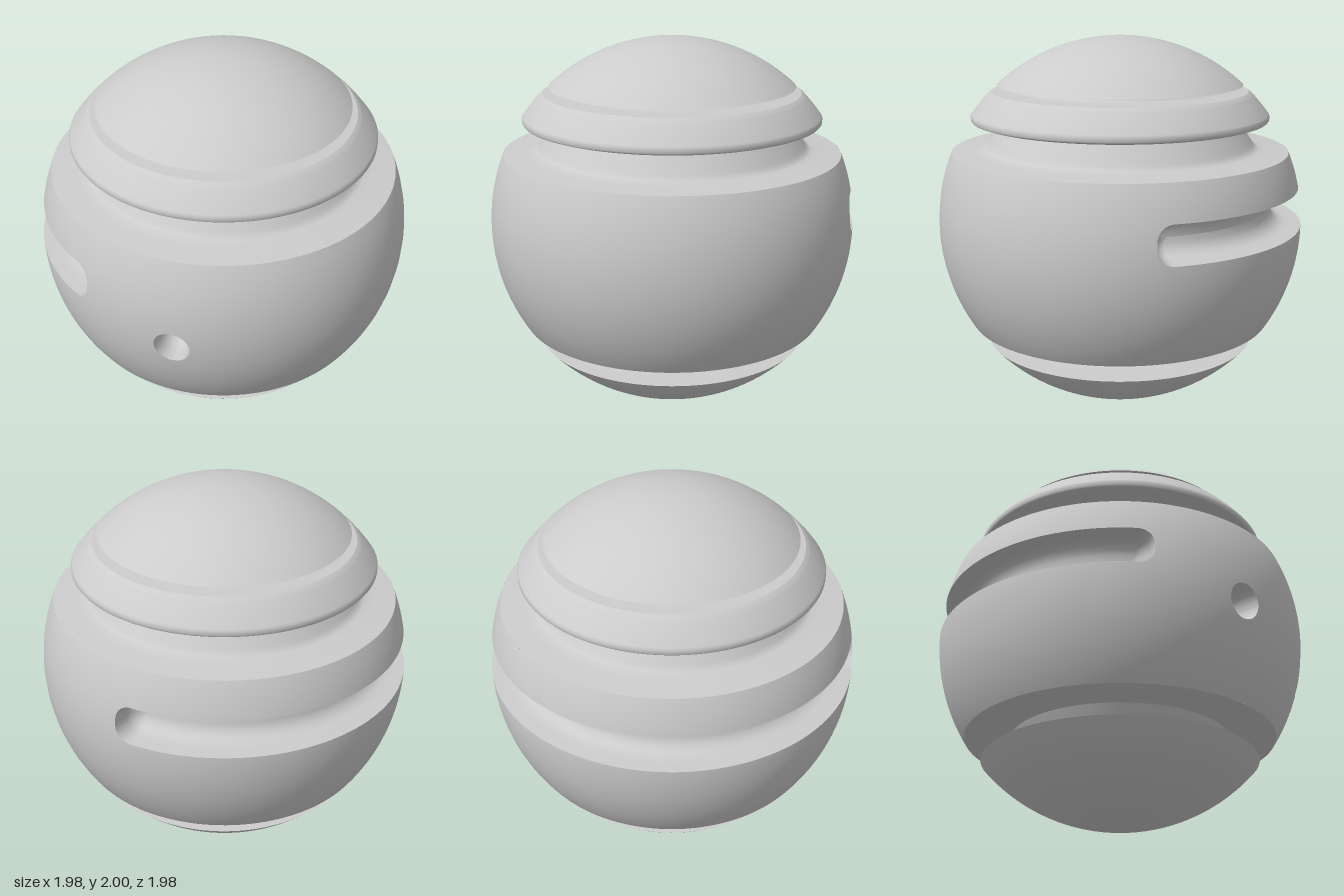
import * as THREE from 'three';

const RX = 0.99, CY = 1; // ball: horizontal radius and centre height (vertical radius 1)
const radiusAt = (y) => RX * Math.sqrt(Math.max(0, 1 - (y - CY) ** 2));

export function createModel() {
  const group = new THREE.Group();
  group.name = 'slottedBall';
  const material = new THREE.MeshStandardMaterial({ color: 0xcccccc, side: THREE.DoubleSide });

  const add = (name, geometry) => {
    const mesh = new THREE.Mesh(geometry, material);
    mesh.name = name;
    group.add(mesh);
  };
  const turned = (name, points) =>
    add(name, new THREE.LatheGeometry(points.map(([r, y]) => new THREE.Vector2(r, y)), 128));

  // Profile along the ball between two heights, evenly spaced by angle
  const arc = (y0, y1, n = 20) => {
    const a0 = Math.asin(y0 - CY), a1 = Math.asin(y1 - CY);
    return Array.from({ length: n + 1 }, (_, i) => {
      const a = a0 + ((a1 - a0) * i) / n;
      return [Math.max(0, RX * Math.cos(a)), CY + Math.sin(a)];
    });
  };

  // Rounded rectangle, counter-clockwise, always with the same number of points
  const outline = (cx, cy, hw, hh, r, nLong, nShort = 24, nCorner = 8) => {
    const pts = [];
    const corners = [[1, 1], [-1, 1], [-1, -1], [1, -1]];
    corners.forEach(([sx, sy], q) => {
      for (let i = 0; i <= nCorner; i++) {
        const a = (q + i / nCorner) * Math.PI / 2;
        pts.push([cx + sx * (hw - r) + r * Math.cos(a), cy + sy * (hh - r) + r * Math.sin(a)]);
      }
      const [ex, ey] = pts[pts.length - 1];
      const [tx, ty] = corners[(q + 1) % 4];
      const a = (q + 1) * Math.PI / 2;
      const nx = cx + tx * (hw - r) + r * Math.cos(a), ny = cy + ty * (hh - r) + r * Math.sin(a);
      const n = q % 2 ? nShort : nLong;
      for (let i = 1; i < n; i++) pts.push([ex + (nx - ex) * i / n, ey + (ny - ey) * i / n]);
    });
    return pts;
  };

  // Joins closed rows of [angle, y, radius] points from the outside inward
  const loft = (rows, onBall) => {
    const pos = [], normal = [], index = [], n = rows[0].length;
    rows.forEach((row, i) => row.forEach(([a, y, r], k) => {
      const x = r * Math.sin(a), z = r * Math.cos(a);
      pos.push(x, y, z);
      const v = new THREE.Vector3(x / RX ** 2, y - CY, z / RX ** 2).normalize();
      normal.push(v.x, v.y, v.z);
      if (i + 1 < rows.length) {
        const p = i * n + k, q = i * n + (k + 1) % n;
        index.push(p, q, q + n, p, q + n, p + n);
      }
    }));
    const g = new THREE.BufferGeometry();
    g.setAttribute('position', new THREE.Float32BufferAttribute(pos, 3));
    g.setIndex(index);
    if (onBall) g.setAttribute('normal', new THREE.Float32BufferAttribute(normal, 3));
    else g.computeVertexNormals();
    return g;
  };

  // Part of the middle shell with one rounded pocket sunk into it
  const Y0 = 0.45, Y1 = 1.39, STEPS = 24;
  const shellWithPocket = (name, centre, half, n, p) => {
    const outer = outline(centre, (Y0 + Y1) / 2, half, (Y1 - Y0) / 2, 0, n);
    const pocket = (inset) => outline(0, p.y, Math.max(0, p.hw - inset), Math.max(0, p.hh - inset),
      Math.max(0, p.r - inset), n).map(([x, y]) => [p.angle + x / RX, y]);
    const rim = pocket(0);
    const skin = Array.from({ length: STEPS + 1 }, (_, i) => outer.map(([a, y], k) => {
      const t = i / STEPS, yy = y + (rim[k][1] - y) * t;
      return [a + (rim[k][0] - a) * t, yy, radiusAt(yy)];
    }));
    add(name + 'Shell', loft(skin, true));
    // wall drops in, then rounds into the floor
    const walls = [[0, 0], [0.02, 0.3], [0.05, 0.55], [0.12, 0.7], [0.26, 0.82], [0.45, 0.92], [0.7, 0.98], [1, 1]];
    add(name + 'Pocket', loft(walls.map(([s, t]) => pocket(s * p.hh).map(([a, y]) =>
      [a, y, radiusAt(y) * (1 - t) + p.floor * t])), false));
  };

  // Domed ends and the upper ring
  turned('bottomDome', arc(0, 0.33, 32));
  turned('upperRing', [[0.797, 1.557], [0.803, 1.565], ...arc(1.585, 1.7, 12), [0.69, 1.712]]);
  turned('topDome', arc(1.745, 2, 32));

  // Lower neck with its ledges
  turned('bottomLedge', [[radiusAt(0.33), 0.33], [0.58, 0.334], [0.55, 0.34], [0.537, 0.35],
    [0.538, 0.362], [0.55, 0.38], [0.59, 0.45]]);
  turned('shellUnderside', [[0.59, 0.45], [radiusAt(Y0), Y0]]);

  // Upper neck with its ledges
  turned('shoulder', [[radiusAt(Y1), Y1], [0.79, 1.4], [0.75, 1.406], [0.732, 1.414], [0.72, 1.43],
    [0.71, 1.445], [0.65, 1.54]]);
  turned('ringUnderside', [[0.65, 1.54], [0.77, 1.548], [0.797, 1.557]]);
  turned('topGroove', [[0.69, 1.712], [0.58, 1.716], [0.555, 1.722], [0.55, 1.732]]);
  turned('topDomeUnderside', [[0.55, 1.732], [0.57, 1.74], [radiusAt(1.745), 1.745]]);

  // Middle shell: long slot round one half, small round hole in the other
  const deg = Math.PI / 180;
  shellWithPocket('slot', -90 * deg, 95 * deg, 68,
    { angle: -90 * deg, y: 1.102, hw: RX * Math.PI / 2 - 0.01, hh: 0.1, r: 0.085, floor: 0.82 });
  shellWithPocket('hole', 90 * deg, 85 * deg, 60,
    { angle: 27.8 * deg, y: 0.908, hw: 0.093, hh: 0.093, r: 0.093, floor: 0.83 });

  return group;
}
